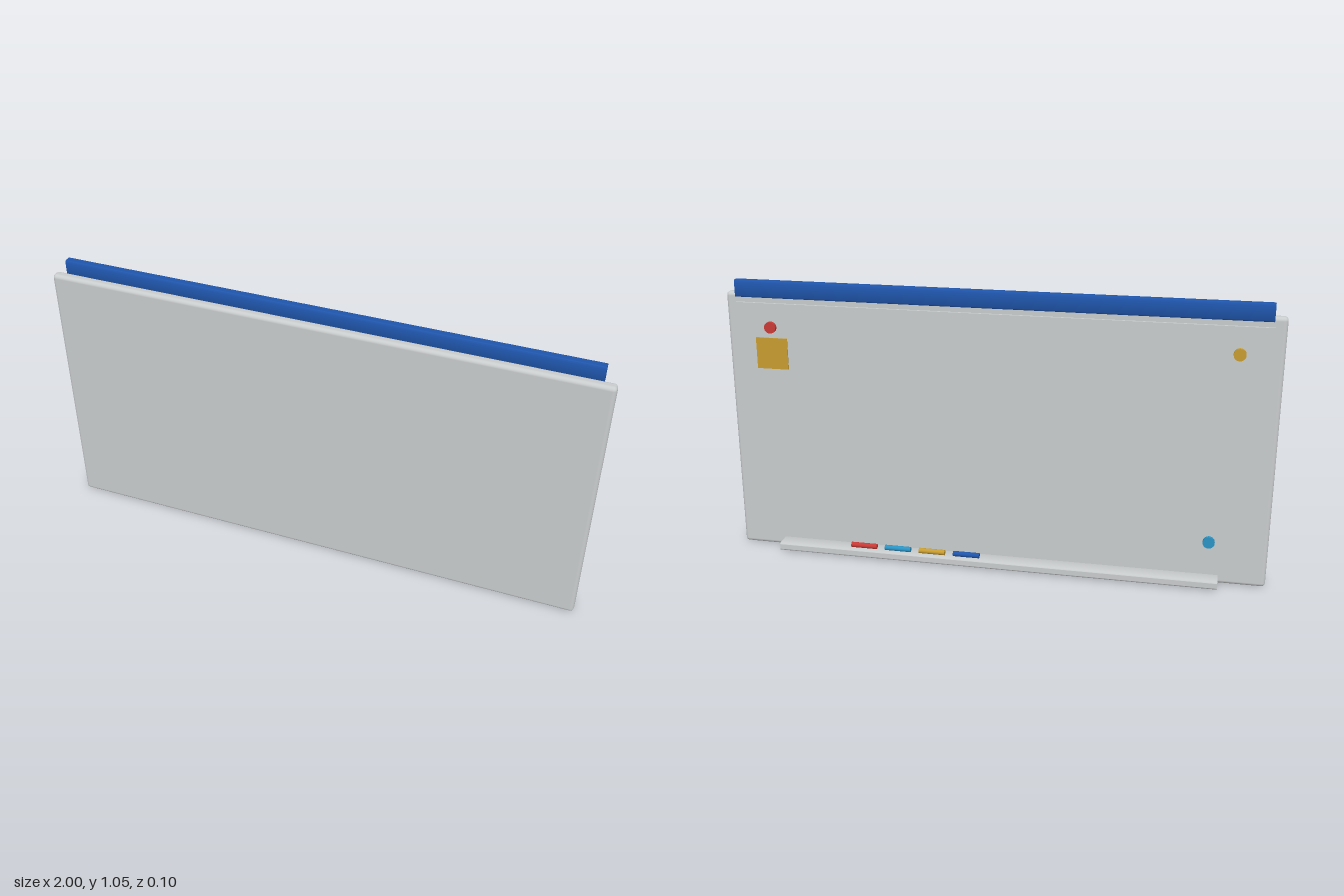
import * as THREE from 'three';
import { RoundedBoxGeometry } from 'three/addons/geometries/RoundedBoxGeometry.js';
import { toCreasedNormals } from 'three/addons/utils/BufferGeometryUtils.js';

const material = (name, color) => {
  const m = new THREE.MeshStandardMaterial({ color });
  m.name = name;
  return m;
};

// Bar along x with a rounded cross-section and flat ends
function barGeometry(length, height, depth, r) {
  const w = depth / 2, h = height / 2;
  const s = new THREE.Shape();
  s.moveTo(-w + r, -h);
  s.lineTo(w - r, -h);
  s.absarc(w - r, -h + r, r, -Math.PI / 2, 0);
  s.lineTo(w, h - r);
  s.absarc(w - r, h - r, r, 0, Math.PI / 2);
  s.lineTo(-w + r, h);
  s.absarc(-w + r, h - r, r, Math.PI / 2, Math.PI);
  s.lineTo(-w, -h + r);
  s.absarc(-w + r, -h + r, r, Math.PI, Math.PI * 1.5);
  const g = new THREE.ExtrudeGeometry(s, { depth: length, bevelEnabled: false, curveSegments: 4 });
  g.translate(0, 0, -length / 2).rotateY(Math.PI / 2);
  return toCreasedNormals(g, 0.6);
}

export function createModel() {
  const group = new THREE.Group();
  group.name = 'whiteboard';

  const grey = material('light grey', 0xc9cccd);
  const blue = material('blue', 0x1f55ab);
  const red = material('red', 0xc83a36);
  const yellow = material('yellow', 0xc79c30);
  const cyan = material('light blue', 0x2a93c4);

  const add = (name, geometry, mat, x, y, z) => {
    const mesh = new THREE.Mesh(geometry, mat);
    mesh.name = name;
    mesh.position.set(x, y, z);
    group.add(mesh);
    return mesh;
  };

  // Board body, raised writing surface, top rail and pen tray
  add('board', new RoundedBoxGeometry(2, 1, 0.038, 4, 0.014), grey, 0, 0.5, 0.031);
  add('writingSurface', new THREE.BoxGeometry(1.92, 0.895, 0.012), grey, 0, 0.5175, 0.009);
  add('topRail', barGeometry(1.91, 0.063, 0.03, 0.006), blue, 0, 1.0185, 0.005);
  add('penTray', barGeometry(1.66, 0.03, 0.066, 0.006), grey, 0, 0.019, -0.017);

  // Markers lying in the tray
  const marker = new THREE.CylinderGeometry(0.01, 0.01, 0.1, 16).rotateZ(Math.PI / 2);
  [blue, yellow, cyan, red].forEach((mat, i) => {
    add('marker', marker, mat, 0.098 + i * 0.133, 0.044, -0.026);
  });

  // Round magnets and a paper note on the writing surface
  const magnet = new THREE.CylinderGeometry(0.0215, 0.0215, 0.013, 20).rotateX(Math.PI / 2);
  add('magnet', magnet, red, 0.83, 0.877, -0.0035);
  add('magnet', magnet, yellow, -0.85, 0.869, -0.0035);
  add('magnet', magnet, cyan, -0.79, 0.168, -0.0035);
  add('note', new THREE.BoxGeometry(0.12, 0.117, 0.004), yellow, 0.83, 0.778, 0.0015);

  return group;
}
